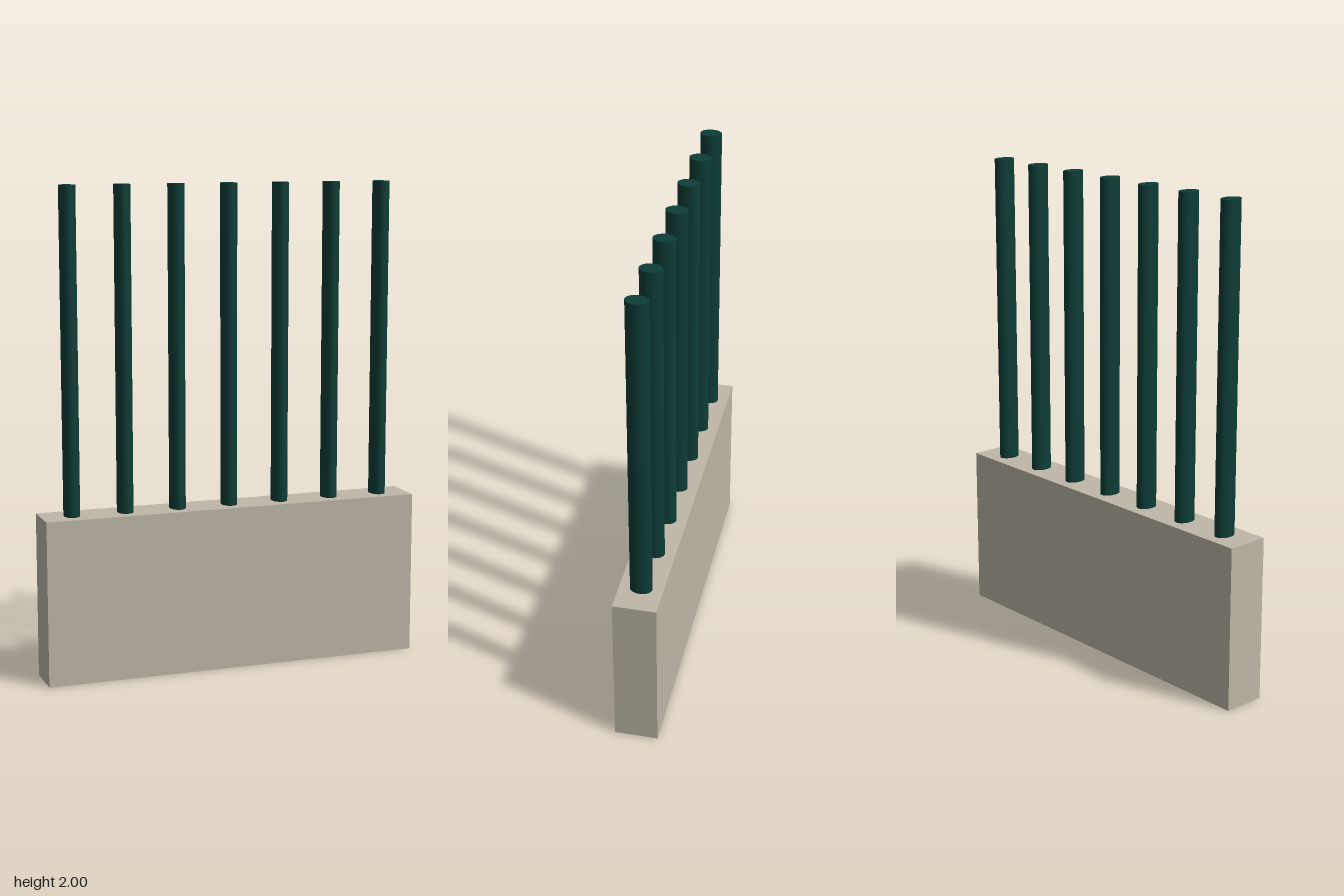
import * as THREE from 'three';

export function createModel() {
  const model = new THREE.Group();
  model.name = 'railingPanel';

  const stone = new THREE.MeshStandardMaterial({ color: 0xbfb8a8 });
  stone.name = 'warm grey stone';
  const green = new THREE.MeshStandardMaterial({ color: 0x0d3d37 });
  green.name = 'dark green paint';

  // Low wall
  const wallHeight = 0.68;
  const wall = new THREE.Mesh(new THREE.BoxGeometry(1.594, wallHeight, 0.177), stone);
  wall.name = 'wall';
  wall.position.y = wallHeight / 2;
  model.add(wall);

  // Seven oval bars standing on the wall
  const barHeight = 2 - wallHeight;
  const barGeometry = new THREE.CylinderGeometry(1, 1, barHeight, 24);
  barGeometry.scale(0.033, 1, 0.045);
  const bars = new THREE.Group();
  bars.name = 'bars';
  for (let i = -3; i <= 3; i++) {
    const bar = new THREE.Mesh(barGeometry, green);
    bar.name = 'bar';
    bar.position.set(i * 0.2235, wallHeight + barHeight / 2, 0);
    bars.add(bar);
  }
  model.add(bars);

  return model;
}
